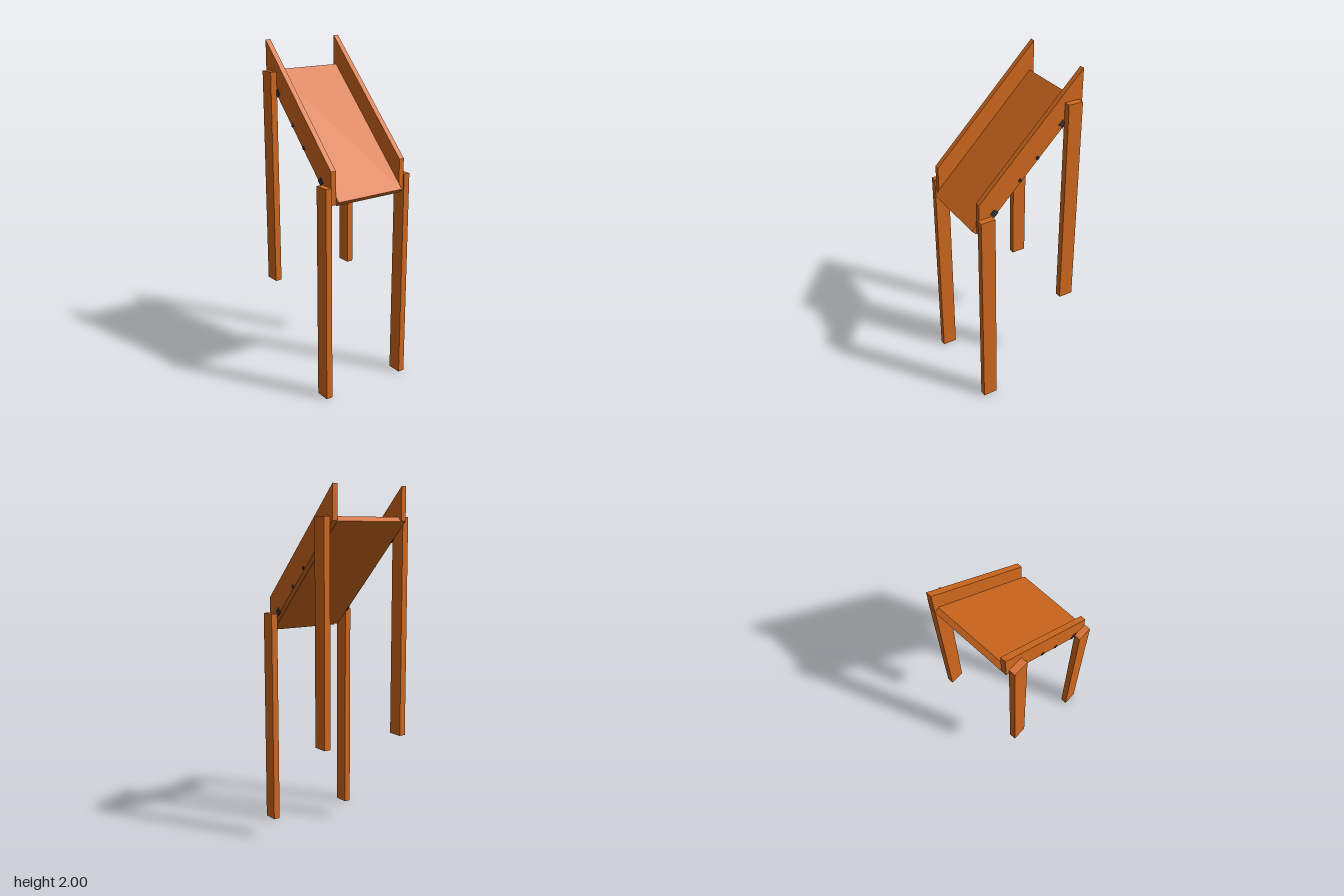
import * as THREE from 'three';

export function createModel() {
  const model = new THREE.Group();
  const wood = new THREE.MeshStandardMaterial({ color: 0xd2691e });
  const metal = new THREE.MeshStandardMaterial({ color: 0x333333 });

  const add = (name, geometry, material, x, y, z) => {
    const mesh = new THREE.Mesh(geometry, material);
    mesh.name = name;
    mesh.position.set(x, y, z);
    model.add(mesh);
    return mesh;
  };

  // Sloping deck, running down towards +x at 45 degrees
  const deck = add('deck', new THREE.BoxGeometry(0.905, 0.036, 0.444), wood, 0, 1.4975, 0);
  deck.rotation.z = -Math.PI / 4;

  // Side board outline: a slanted plank with vertical cut ends
  const outline = new THREE.Shape([
    new THREE.Vector2(-0.333, 1.808),
    new THREE.Vector2(0.305, 1.17),
    new THREE.Vector2(0.305, 1.36),
    new THREE.Vector2(-0.333, 2.0),
  ]);
  const boardGeometry = new THREE.ExtrudeGeometry(outline, { depth: 0.032, bevelEnabled: false });
  boardGeometry.translate(0, 0, -0.016);

  const legGeometry = new THREE.BoxGeometry(0.088, 1.27, 0.039);
  const plateGeometry = new THREE.BoxGeometry(0.037, 0.037, 0.008);
  const boltGeometry = new THREE.CylinderGeometry(0.011, 0.011, 0.012, 16);
  boltGeometry.rotateX(Math.PI / 2);

  for (const [label, s] of [['left', 1], ['right', -1]]) {
    add(label + 'SideBoard', boardGeometry, wood, 0, 0, s * 0.238);

    // Upper leg hangs higher, matching the slope
    add(label + 'UpperLeg', legGeometry, wood, -0.267, 1.195, s * 0.2725);
    add(label + 'LowerLeg', legGeometry, wood, 0.269, 0.635, s * 0.2725);

    // Square plates and round bolts along the deck edge
    for (const [x, y] of [[-0.213, 1.71], [0.211, 1.285]]) {
      add(label + 'Plate', plateGeometry, metal, x, y, s * 0.252).rotation.z = Math.PI / 4;
    }
    for (const [x, y] of [[-0.059, 1.55], [0.049, 1.442]]) {
      add(label + 'Bolt', boltGeometry, metal, x, y, s * 0.2525);
    }
  }
  return model;
}
